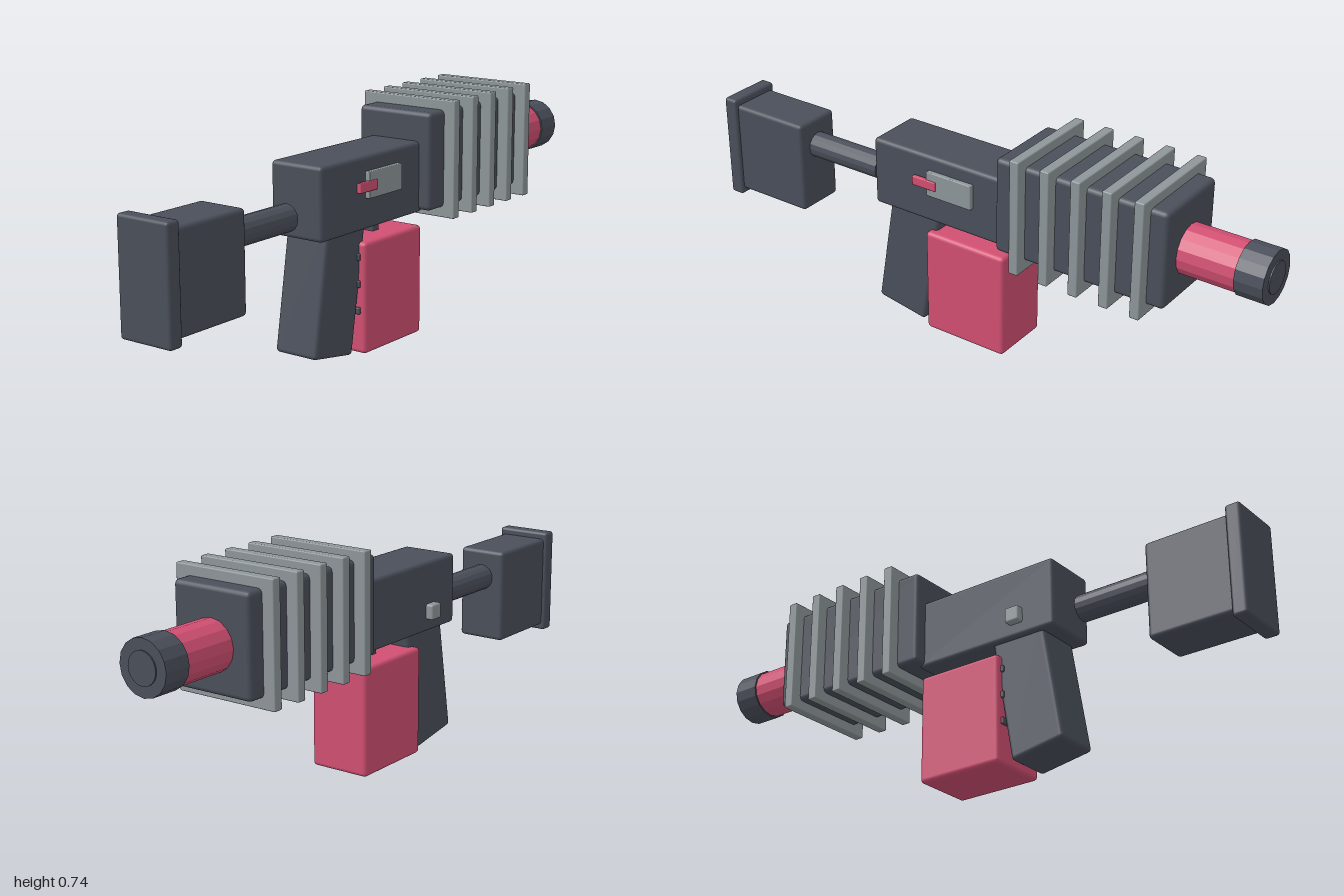
import * as THREE from 'three';
import { RoundedBoxGeometry } from 'three/addons/geometries/RoundedBoxGeometry.js';

export function createModel() {
  const model = new THREE.Group();
  model.name = 'toyBlaster';

  const material = (name, color, flatShading = false) => {
    const m = new THREE.MeshStandardMaterial({ color, flatShading });
    m.name = name;
    return m;
  };
  const dark = material('darkSlate', 0x4a4f5a);
  const grey = material('coolGrey', 0x8e9699);
  const pink = material('rosePink', 0xd14f72);

  const add = (name, geometry, mat) => {
    const mesh = new THREE.Mesh(geometry, mat);
    mesh.name = name;
    model.add(mesh);
    return mesh;
  };

  // Softly bevelled box given by its extents on each axis
  const box = (name, mat, [x0, x1], [y0, y1], [z0, z1], bevel = 0.01) => {
    const geometry = new RoundedBoxGeometry(x1 - x0, y1 - y0, z1 - z0, 2, bevel);
    const mesh = add(name, geometry, mat);
    mesh.position.set((x0 + x1) / 2, (y0 + y1) / 2, (z0 + z1) / 2);
    return mesh;
  };

  // Faceted rod along z
  const rod = (name, mat, radius, y, z0, z1, sides = 16) => {
    const geometry = new THREE.CylinderGeometry(radius, radius, z1 - z0, sides).toNonIndexed();
    geometry.computeVertexNormals();
    geometry.rotateX(Math.PI / 2);
    const mesh = add(name, geometry, mat);
    mesh.position.set(0, y, (z0 + z1) / 2);
    return mesh;
  };

  // Body
  box('receiver', dark, [-0.095, 0.095], [0.395, 0.623], [-0.16, 0.357], 0.013);
  box('barrelHousing', dark, [-0.137, 0.137], [0.403, 0.716], [-0.722, -0.137], 0.015);
  for (let i = 0; i < 5; i++) {
    const z = -0.23 - i * 0.105;
    box('coolingFin', grey, [-0.176, 0.176], [0.37, 0.748], [z - 0.016, z + 0.016], 0.004);
  }

  // Barrel and muzzle
  rod('barrel', pink, 0.079, 0.547, -0.92, -0.7);
  rod('muzzleCap', dark, 0.084, 0.547, -0.996, -0.906);
  rod('muzzleDisc', dark, 0.05, 0.547, -1, -0.98, 24);

  // Stock
  rod('stockTube', dark, 0.043, 0.469, 0.4, 0.69);
  box('stockBody', dark, [-0.083, 0.083], [0.252, 0.563], [0.676, 0.96], 0.013);
  box('buttPlate', dark, [-0.094, 0.094], [0.233, 0.585], [0.951, 1], 0.01);

  // Slanted grip
  const grip = box('grip', dark, [-0.078, 0.078], [0.017, 0.437], [0.149, 0.337], 0.013);
  grip.rotation.x = -0.165;

  // Magazine with its stem and rear ridges
  box('magazine', pink, [-0.103, 0.103], [0.003, 0.356], [-0.143, 0.154], 0.013);
  box('magazineStem', dark, [-0.03, 0.03], [0.34, 0.41], [-0.016, 0.017], 0.004);
  for (const y of [0.14, 0.225, 0.31]) {
    box('magazineRidge', dark, [-0.085, 0.085], [y - 0.011, y + 0.011], [0.14, 0.163], 0.004);
  }

  // Side details
  box('ejectionPlate', grey, [0.085, 0.11], [0.492, 0.575], [-0.026, 0.142], 0.003);
  box('boltHandle', pink, [0.1, 0.115], [0.517, 0.548], [0.105, 0.193], 0.003);
  box('releaseButton', grey, [-0.12, -0.085], [0.436, 0.486], [0.195, 0.245], 0.007);

  return model;
}
